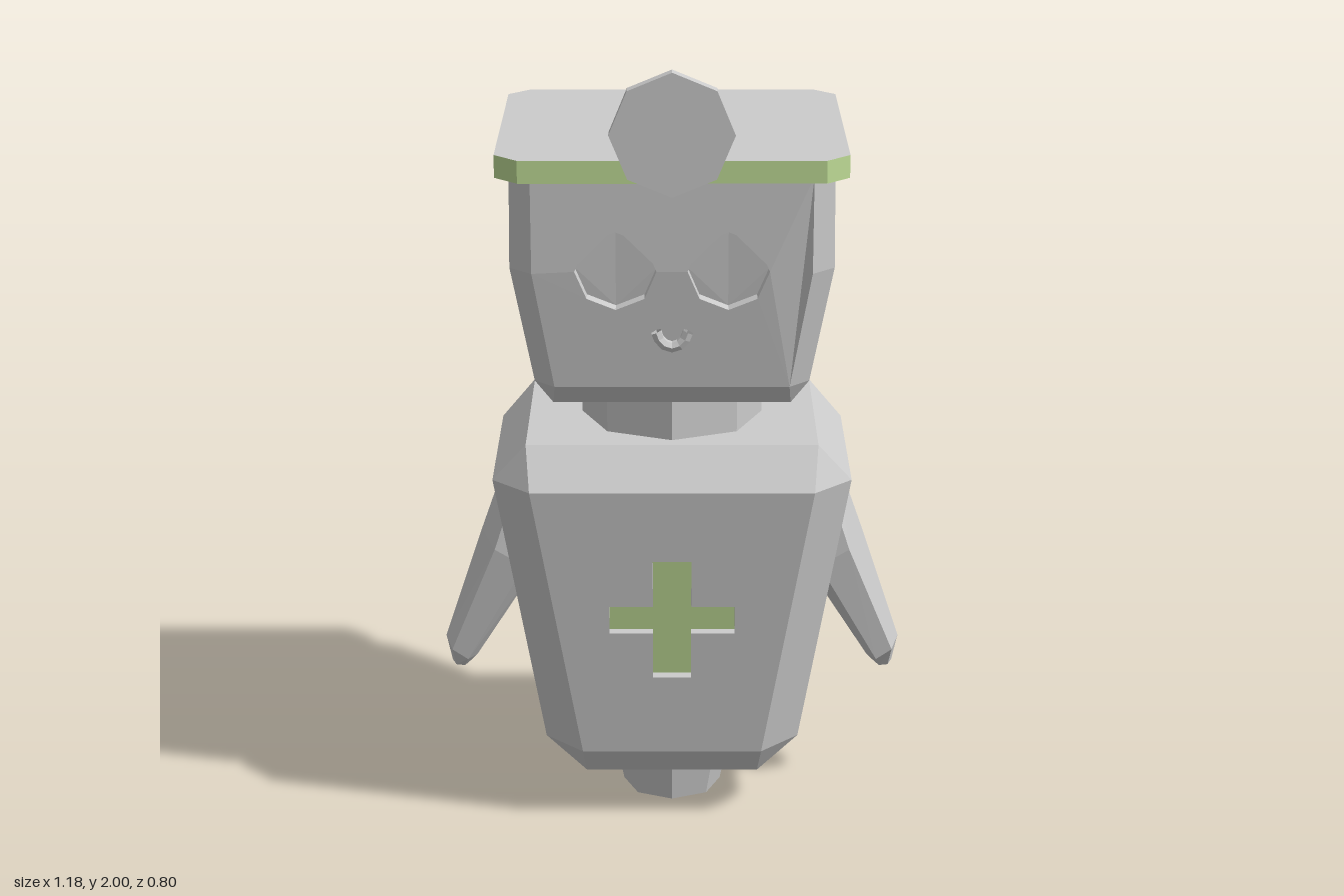
import * as THREE from 'three';

const grey = new THREE.MeshStandardMaterial({ color: 0xcccccc, flatShading: true });
const greyTwoSided = new THREE.MeshStandardMaterial({ color: 0xcccccc, flatShading: true, side: THREE.DoubleSide });
const green = new THREE.MeshStandardMaterial({ color: 0xbfdc96, flatShading: true });

function add(parent, name, geometry, material = grey) {
  const mesh = new THREE.Mesh(geometry, material);
  mesh.name = name;
  parent.add(mesh);
  return mesh;
}

// Skin between closed rings of points, listed from bottom to top
function loft(rings, { caps = true, skip = () => false } = {}) {
  const n = rings[0].length, index = [];
  for (let i = 0; i < rings.length - 1; i++) {
    for (let j = 0; j < n; j++) {
      if (skip(i, j)) continue;
      const k = (j + 1) % n, a = i * n, b = a + n;
      index.push(a + j, a + k, b + k, a + j, b + k, b + j);
    }
  }
  const top = (rings.length - 1) * n;
  for (let j = 1; caps && j < n - 1; j++) {
    index.push(0, j + 1, j, top, top + j, top + j + 1);
  }
  const g = new THREE.BufferGeometry();
  g.setAttribute('position', new THREE.Float32BufferAttribute(rings.flat(2), 3));
  g.setIndex(index);
  g.computeVertexNormals();
  return g;
}

// Rectangle with cut corners: height, half width, front z, back z, corner cut
const cutRect = ([y, w, f, b, c]) => [
  [-w + c, y, f], [w - c, y, f], [w, y, f - c], [w, y, b + c],
  [w - c, y, b], [-w + c, y, b], [-w, y, b + c], [-w, y, f - c],
];

// Bevelled block whose front face (levels 1 and up) carries recessed holes
function recessedBlock(name, levels, lastFront, holes, depth, floorMaterial) {
  const group = new THREE.Group();
  group.name = name;
  const rings = levels.map(cutRect);
  add(group, name + 'Shell', loft(rings, { skip: (i, j) => j === 0 && i >= 1 && i < lastFront }));

  const face = levels.slice(1, lastFront + 1);
  const frontZ = (y) => {
    let i = 0;
    while (i < face.length - 2 && y > face[i + 1][0]) i++;
    const [lo, hi] = [face[i], face[i + 1]];
    return THREE.MathUtils.lerp(lo[2], hi[2], (y - lo[0]) / (hi[0] - lo[0]));
  };
  const onFace = (geometry, offset = 0) => {
    const p = geometry.attributes.position;
    for (let i = 0; i < p.count; i++) p.setZ(i, frontZ(p.getY(i)) - offset);
    geometry.computeVertexNormals();
    return geometry;
  };

  const right = face.map(([y, w, , , c]) => new THREE.Vector2(w - c, y));
  const left = right.map((p) => new THREE.Vector2(-p.x, p.y)).reverse();
  const outline = new THREE.Shape([...right, ...left]);
  outline.holes = holes.map((h) => new THREE.Path(h));
  add(group, name + 'Front', onFace(new THREE.ShapeGeometry(outline)));

  for (const hole of holes) {
    const ring = (d) => hole.map((p) => [p.x, p.y, frontZ(p.y) - d]);
    add(group, name + 'RecessWall', loft([ring(depth), ring(0)], { caps: false }), greyTwoSided);
    add(group, name + 'RecessFloor', onFace(new THREE.ShapeGeometry(new THREE.Shape(hole)), depth), floorMaterial);
  }
  return group;
}

function octagon(x, y, r) {
  return Array.from({ length: 8 }, (_, i) => {
    const a = (i * Math.PI) / 4;
    return new THREE.Vector2(x + r * Math.cos(a), y + r * Math.sin(a));
  });
}

// Tapered six-sided arm, from hand up to shoulder; side is +1 or -1
function armGeometry(side) {
  const sections = [ // outer x, y, inner x, y, half depth
    [0.575, 0.35, 0.53, 0.345, 0.03],
    [0.59, 0.42, 0.51, 0.365, 0.065],
    [0.49, 0.72, 0.34, 0.63, 0.098],
    [0.42, 0.92, 0.30, 0.80, 0.085],
  ];
  const around = [[0, 0], [0.25, -1], [0.75, -1], [1, 0], [0.75, 1], [0.25, 1]];
  return loft(sections.map(([ox, oy, ix, iy, d]) => around.map(([t, s]) => [
    side * THREE.MathUtils.lerp(ox, ix, t), THREE.MathUtils.lerp(oy, iy, t), -0.01 + side * s * d,
  ])));
}

export function createModel() {
  const model = new THREE.Group();

  // Foot and neck
  const foot = add(model, 'foot', new THREE.CylinderGeometry(0.155, 0.127, 0.13, 8));
  foot.position.set(0, 0.065, -0.025);
  const neck = add(model, 'neck', new THREE.CylinderGeometry(0.228, 0.228, 0.13, 8));
  neck.position.set(0, 1.095, -0.01);

  // Body with a cross-shaped recess
  const quarter = [[0.157, 0.038], [0.048, 0.038], [0.048, 0.165]];
  const flip = (sx, sy, rev) => {
    const pts = quarter.map(([x, y]) => new THREE.Vector2(sx * x, 0.584 + sy * y));
    return rev ? pts.reverse() : pts;
  };
  const cross = [...flip(1, 1), ...flip(-1, 1, true), ...flip(-1, -1), ...flip(1, -1, true)];
  model.add(recessedBlock('body', [
    [0.115, 0.22, 0.165, -0.19, 0],
    [0.2, 0.325, 0.233, -0.26, 0.097],
    [0.94, 0.445, 0.325, -0.355, 0.095],
    [1.04, 0.36, 0.254, -0.265, 0],
  ], 2, [cross], 0.03, green));

  // Head with two recessed eyes
  model.add(recessedBlock('head', [
    [1.15, 0.29, 0.25, -0.275, 0],
    [1.205, 0.335, 0.297, -0.323, 0.05],
    [1.5, 0.39, 0.333, -0.36, 0.055],
    [1.74, 0.387, 0.339, -0.365, 0.052],
  ], 3, [octagon(-0.135, 1.505, 0.098), octagon(0.135, 1.505, 0.098)], 0.04, grey));

  // Mouth
  const smile = [[-0.038, 1.36], [-0.026, 1.334], [0, 1.322], [0.026, 1.334], [0.038, 1.36]];
  const mouthPath = new THREE.CatmullRomCurve3(smile.map(([x, y]) => new THREE.Vector3(x, y, 0.345)));
  add(model, 'mouth', new THREE.TubeGeometry(mouthPath, 6, 0.014, 6), greyTwoSided);

  // Flat cap with a green rim
  const capShape = new THREE.Shape(
    cutRect([0, 0.42, 0.37, -0.4, 0.057]).map(([x, , z]) => new THREE.Vector2(x, -z)));
  const cap = add(model, 'cap',
    new THREE.ExtrudeGeometry(capShape, { depth: 0.055, bevelEnabled: false }), [grey, green]);
  cap.rotation.x = -Math.PI / 2;
  cap.position.y = 1.73;

  // Round headlamp on the cap's front edge
  const lamp = add(model, 'headlamp', new THREE.CylinderGeometry(0.148, 0.148, 0.036, 8));
  lamp.rotation.x = Math.PI / 2;
  lamp.position.set(0, 1.852, 0.382);

  // Arms
  add(model, 'leftArm', armGeometry(1));
  add(model, 'rightArm', armGeometry(-1));

  return model;
}
